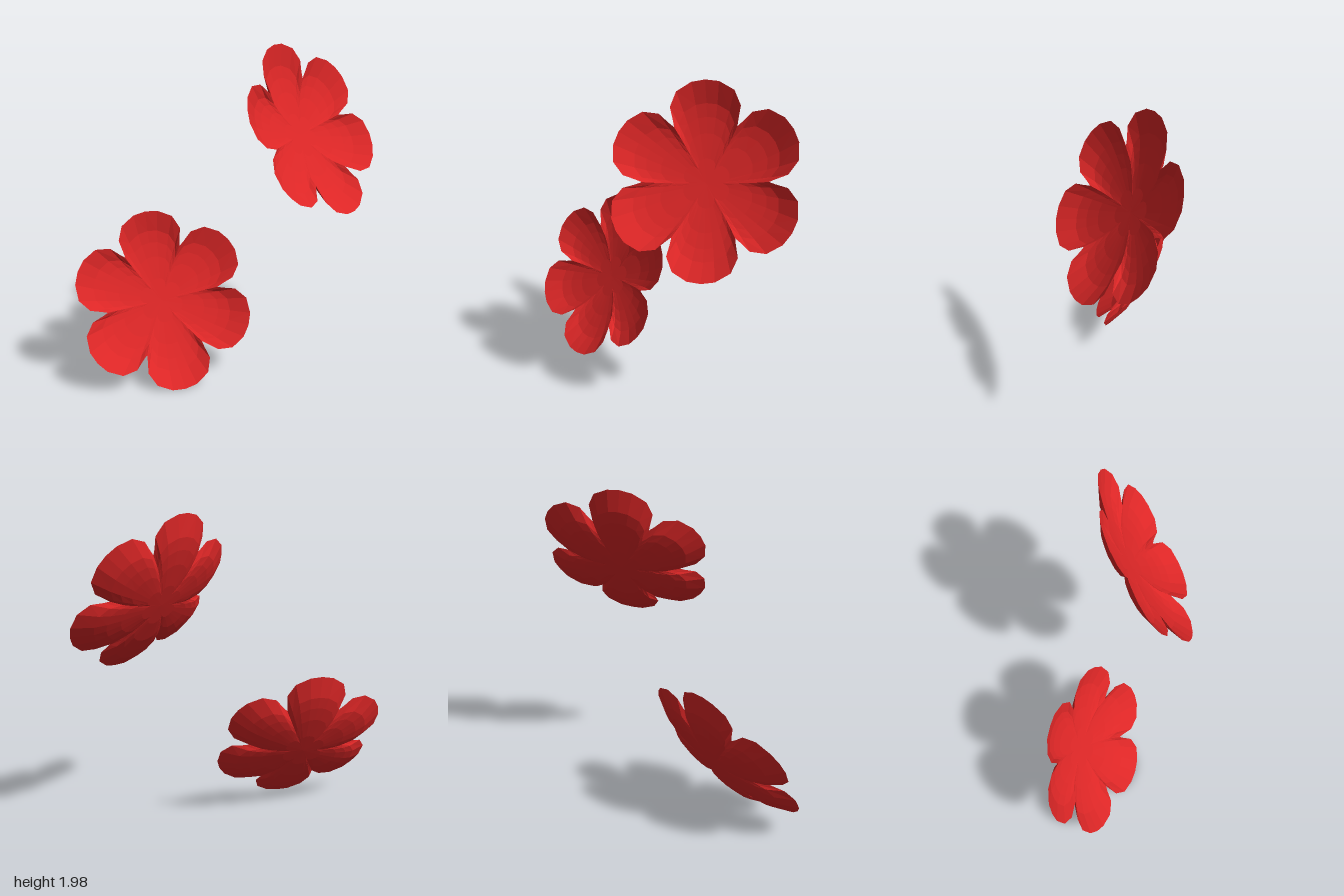
import * as THREE from 'three';

const red = new THREE.MeshStandardMaterial({ color: 0xdc2626, flatShading: true, side: THREE.DoubleSide });
red.name = 'petalRed';

// Outline of one petal: angle in degrees from its axis, radius, rim height
const half = [[0, 0.56, 0.117], [8, 0.555, 0.115], [18, 0.525, 0.112], [25.5, 0.46, 0.1], [28, 0.39, 0.08], [30, 0.355, 0.072]];
const outline = [...half.slice(1).reverse().map(([a, r, h]) => [-a, r, h]), ...half];

// Rings from the flower centre to the rim: share of the radius, share of the height
const rings = [[0, 0], [0.25, 0.02], [0.5, 0.13], [0.66, 0.27], [0.79, 0.45], [1, 1]];

// One sixth of the cupped flower, its axis along +x and opening towards +y
function petalGeometry() {
  const positions = [];
  const index = [];
  const n = outline.length;
  for (const [s, k] of rings) {
    for (const [deg, r, h] of outline) {
      const a = THREE.MathUtils.degToRad(deg);
      positions.push(Math.cos(a) * r * s, h * k, Math.sin(a) * r * s);
    }
  }
  for (let i = 0; i < rings.length - 1; i++) {
    for (let j = 0; j < n - 1; j++) {
      const a = i * n + j, b = a + 1, c = a + n, d = c + 1;
      if (i > 0) index.push(a, b, c);
      index.push(b, d, c);
    }
  }
  const geometry = new THREE.BufferGeometry();
  geometry.setAttribute('position', new THREE.Float32BufferAttribute(positions, 3));
  geometry.setIndex(index);
  geometry.computeVertexNormals();
  return geometry;
}

// Six petals, placed by rim centre, facing direction and first petal direction
function flower(name, geometry, centre, facing, firstPetal) {
  const group = new THREE.Group();
  group.name = name;
  for (let i = 0; i < 6; i++) {
    const petal = new THREE.Mesh(geometry, red);
    petal.name = 'petal';
    petal.rotation.y = i * Math.PI / 3;
    group.add(petal);
  }
  const up = new THREE.Vector3(...facing).normalize();
  const side = new THREE.Vector3(...firstPetal).cross(up).normalize();
  const along = new THREE.Vector3().crossVectors(up, side);
  group.quaternion.setFromRotationMatrix(new THREE.Matrix4().makeBasis(along, up, side));
  group.position.set(...centre).addScaledVector(up, -0.115);
  return group;
}

export function createModel() {
  const model = new THREE.Group();
  model.name = 'flowers';
  const petal = petalGeometry();
  model.add(flower('upperFlower', petal, [0.375, 1.51, -0.335], [0.86, 0.49, 0.087], [-0.55, 0.98, 0.07]));
  model.add(flower('lowerFlower', petal, [-0.225, 0.5, 0.41], [0.69, 0.48, 0.54], [-0.48, 0.96, -0.25]));
  return model;
}
